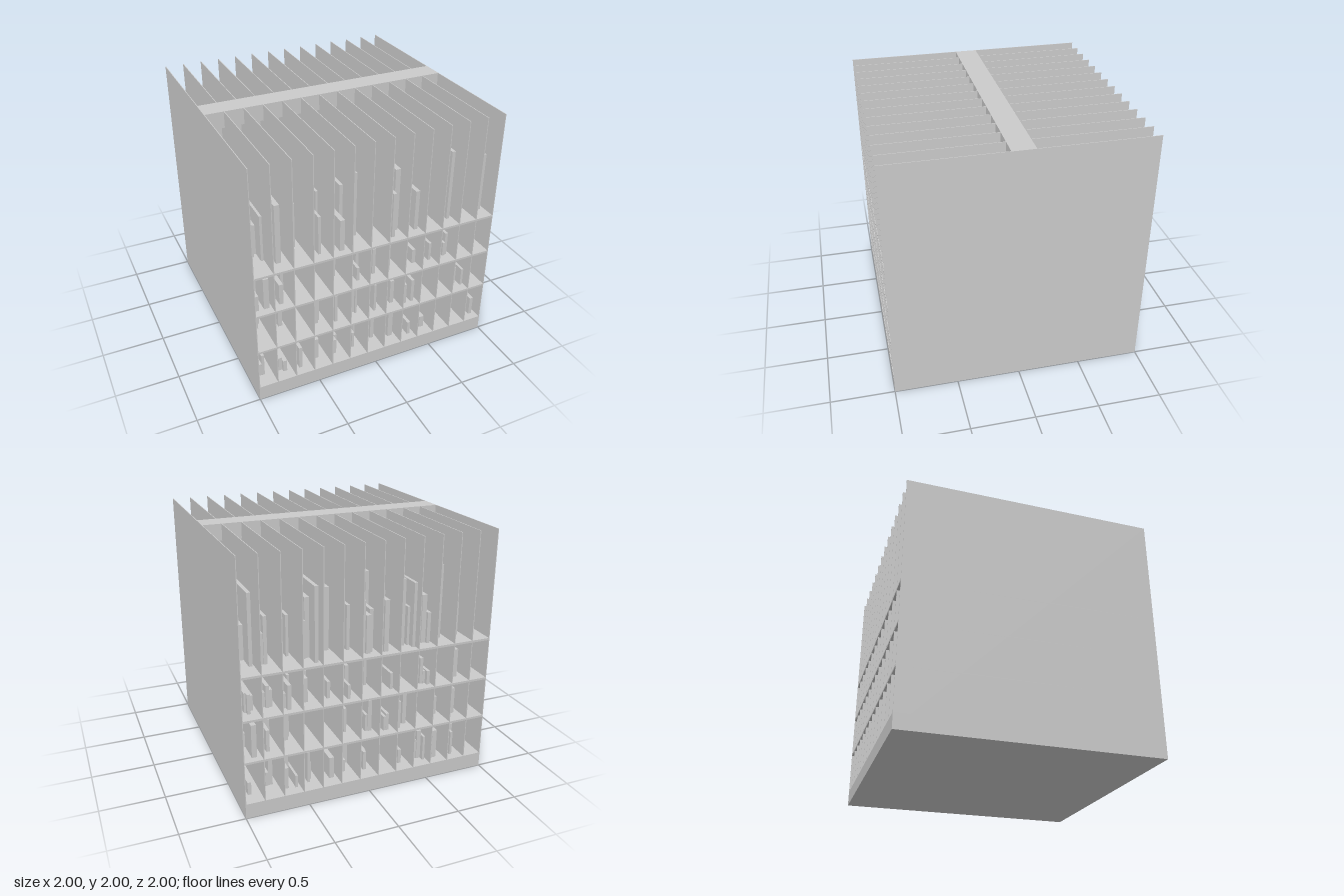
import * as THREE from 'three';

// Double-sided bookcase: shelves and thin dividers with books on both faces
export function createModel() {
  const model = new THREE.Group();
  const material = new THREE.MeshStandardMaterial({ color: 0xcccccc, flatShading: true });

  function box(name, x0, x1, y0, y1, z0, z1, parent = model) {
    const mesh = new THREE.Mesh(new THREE.BoxGeometry(x1 - x0, y1 - y0, z1 - z0), material);
    mesh.position.set((x0 + x1) / 2, (y0 + y1) / 2, (z0 + z1) / 2);
    mesh.name = name;
    parent.add(mesh);
  }

  let seed = 17;
  const random = (min, max) => {
    seed = (seed * 16807) % 2147483647;
    return min + (max - min) * (seed / 2147483647);
  };

  // Carcass
  box('base', -1, 1, 0, 0.12, -1, 1);
  box('topRail', -1, 1, 1.87, 2, -0.09, 0.09);
  box('backboard', -0.995, 0.995, 0.12, 1.87, -0.01, 0.01);
  for (const y of [0.45, 0.785, 1.12]) box('shelf', -1, 1, y, y + 0.017, -1, 1);

  // Side panels and dividers
  const bays = 13, pitch = 2 / bays, thick = 0.006;
  for (const s of [-1, 1]) {
    box('sidePanel', s - (s > 0 ? thick : 0), s + (s < 0 ? thick : 0), 0, 2, -1, 1);
  }
  for (let i = 1; i < bays; i++) {
    const x = -1 + i * pitch;
    box('divider', x - thick / 2, x + thick / 2, 0.12, 1.999, -0.999, 0.999);
  }

  // Books: a short row in every bay, on each tier and each face
  const tiers = [
    { y: 0.13, low: 0.1, high: 0.27 },
    { y: 0.467, low: 0.1, high: 0.27 },
    { y: 0.802, low: 0.1, high: 0.27 },
    { y: 1.137, low: 0.22, high: 0.6 },
  ];
  for (const side of [1, -1]) {
    for (const tier of tiers) {
      const row = new THREE.Group();
      row.name = side > 0 ? 'frontBooks' : 'backBooks';
      model.add(row);
      for (let i = 0; i < bays; i++) {
        const filled = random(0.06, 0.135);
        const left = -1 + i * pitch + thick + random(0, pitch - 2 * thick - filled);
        let x = left;
        while (x < left + filled - 0.015) {
          const end = Math.min(x + random(0.018, 0.042), left + filled);
          const front = random(0.65, 0.95);
          const [z0, z1] = side > 0 ? [0.01, front] : [-front, -0.01];
          box('book', x, end, tier.y, tier.y + random(tier.low, tier.high), z0, z1, row);
          x = end;
        }
      }
    }
  }
  return model;
}
